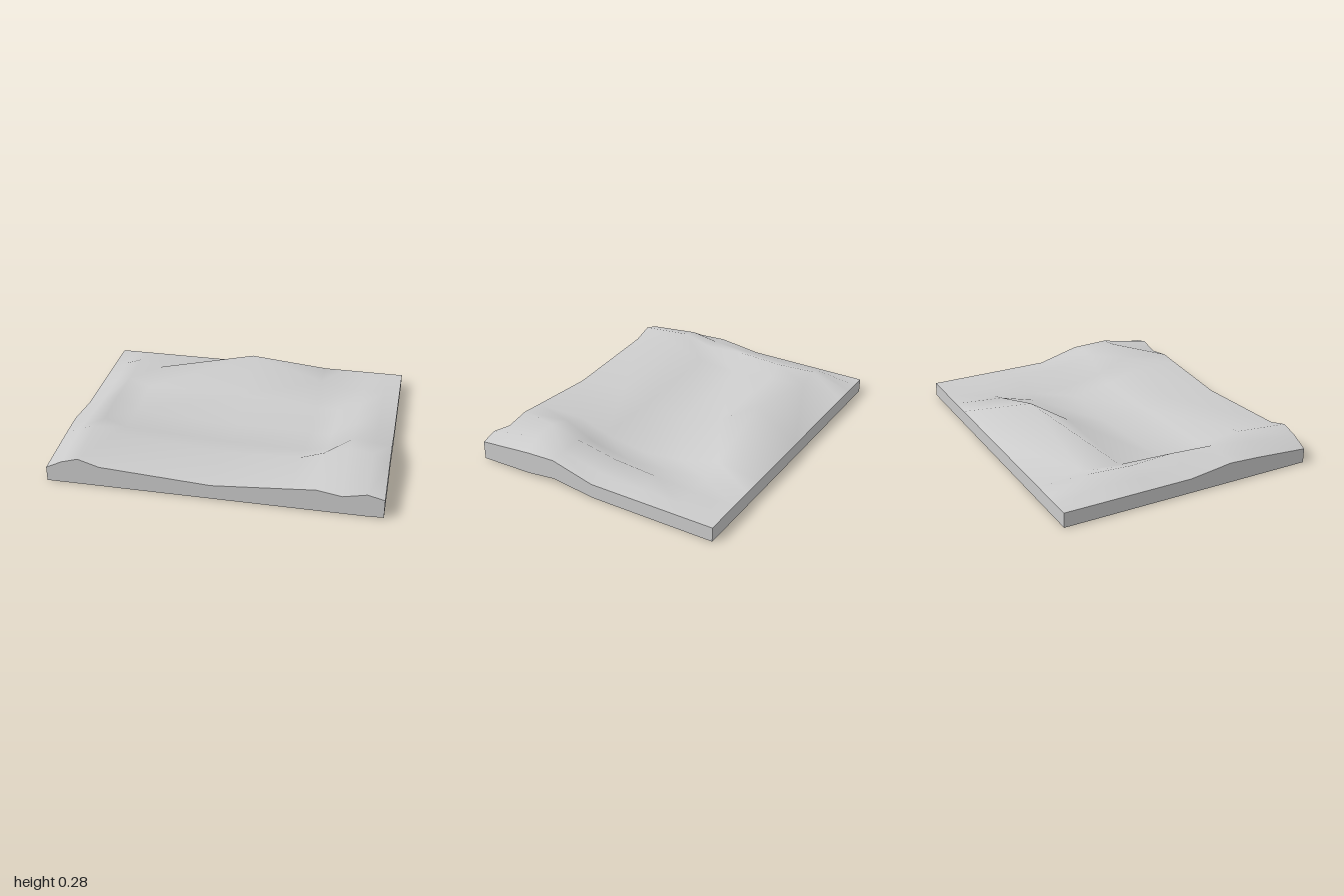
import * as THREE from 'three';

const XS = [-1, -0.9, -0.8, -0.67, 0, 0.47, 0.61, 0.76, 0.9, 1];
const ZS = [0.8, 0.46, 0.27, 0, -0.28, -0.53, -0.8];

// Ground height cross-sections, front to back, one value per entry of XS:
// a raised rim of hills around a low basin
const HEIGHTS = [
  [0.09, 0.14, 0.17, 0.13, 0.09, 0.128, 0.14, 0.115, 0.145, 0.12],
  [0.115, 0.175, 0.2, 0.165, 0.11, 0.13, 0.178, 0.23, 0.21, 0.152],
  [0.125, 0.145, 0.15, 0.1, 0.07, 0.07, 0.09, 0.18, 0.17, 0.16],
  [0.09, 0.13, 0.165, 0.07, 0.03, 0.03, 0.04, 0.13, 0.11, 0.09],
  [0.09, 0.12, 0.152, 0.1, 0.11, 0.06, 0.06, 0.11, 0.1, 0.09],
  [0.09, 0.13, 0.165, 0.12, 0.275, 0.13, 0.09, 0.09, 0.09, 0.09],
  XS.map(() => 0.09),
];

// The underside is flat except for a slight lift along the +x edge
const LIFT = [0.004, 0.012, 0.035, 0, 0, 0, 0];

const topPoint = (i, j) => [XS[i], HEIGHTS[j][i], ZS[j]];
const bottomPoint = (i, j) => [XS[i], i === XS.length - 1 ? LIFT[j] : 0, ZS[j]];

// Smooth surface through a grid of points
function gridMesh(name, cols, rows, point, flip = false) {
  const positions = [];
  const index = [];
  for (let j = 0; j < rows; j++) {
    for (let i = 0; i < cols; i++) positions.push(...point(i, j));
  }
  for (let j = 0; j < rows - 1; j++) {
    for (let i = 0; i < cols - 1; i++) {
      const a = j * cols + i, b = a + 1, c = a + cols, d = c + 1;
      if (flip) index.push(a, d, b, a, c, d);
      else index.push(a, b, d, a, d, c);
    }
  }
  const geometry = new THREE.BufferGeometry();
  geometry.setAttribute('position', new THREE.Float32BufferAttribute(positions, 3));
  geometry.setIndex(index);
  geometry.computeVertexNormals();
  const mesh = new THREE.Mesh(geometry, new THREE.MeshStandardMaterial({ color: 0xcccccc }));
  mesh.name = name;
  return mesh;
}

export function createModel() {
  const group = new THREE.Group();
  group.name = 'terrainSlab';
  const nx = XS.length, nz = ZS.length;

  // Rolling ground and underside
  group.add(gridMesh('ground', nx, nz, topPoint));
  group.add(gridMesh('underside', nx, nz, bottomPoint, true));

  // Four upright walls, walked counterclockwise as seen from above
  const walls = [
    ['frontWall', nx, (k) => [k, 0]],
    ['leftWall', nz, (k) => [nx - 1, k]],
    ['backWall', nx, (k) => [nx - 1 - k, nz - 1]],
    ['rightWall', nz, (k) => [0, nz - 1 - k]],
  ];
  for (const [name, count, cell] of walls) {
    group.add(gridMesh(name, count, 2, (k, row) => (row ? topPoint : bottomPoint)(...cell(k))));
  }
  return group;
}
